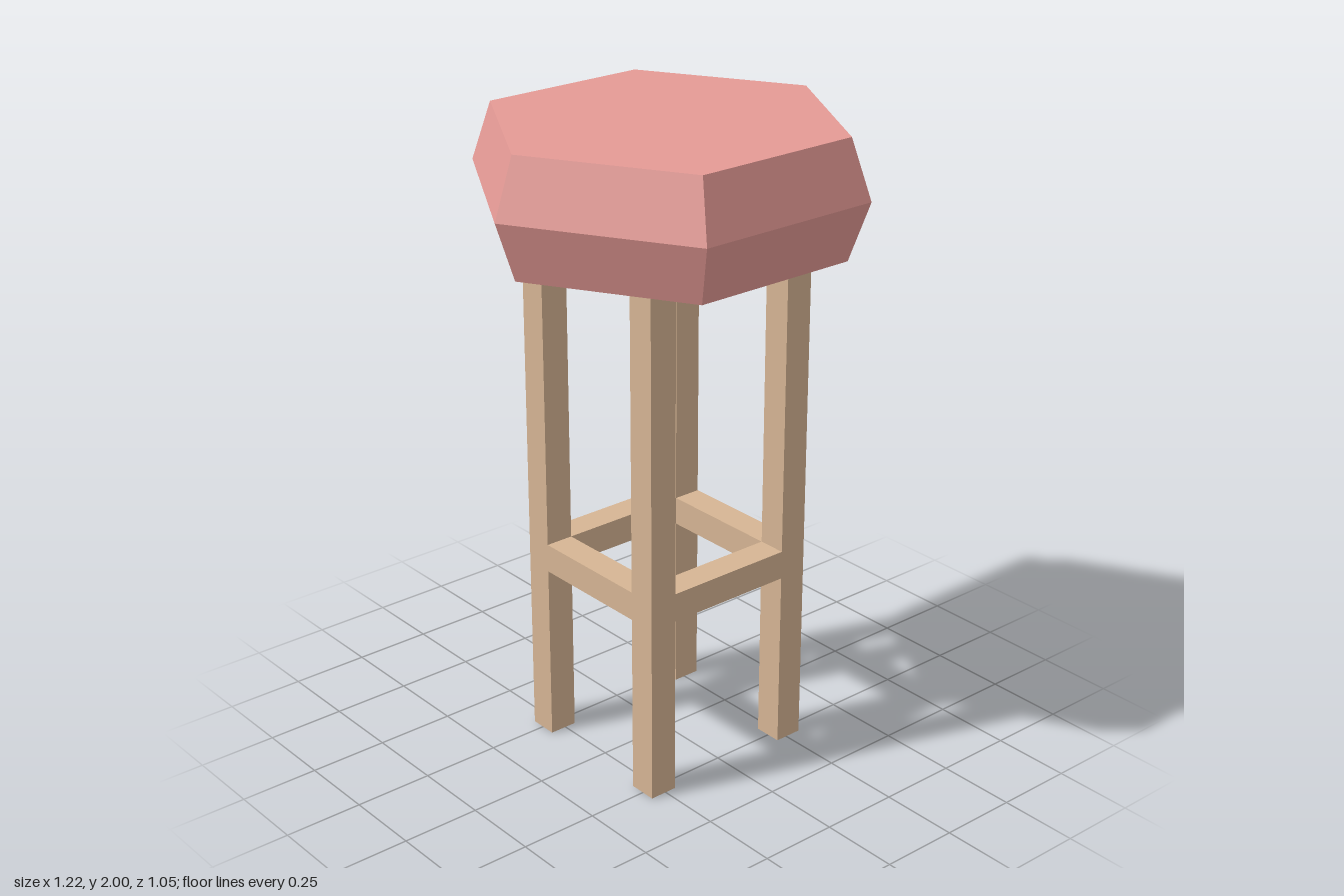
import * as THREE from 'three';

const LEG = 0.091;            // leg and rail thickness
const LEG_X = 0.258, LEG_Z = 0.248;
const SEAT_BOTTOM = 1.637, SEAT_TOP = 2;
const RAIL_Y = 0.622;

export function createModel() {
  const stool = new THREE.Group();
  stool.name = 'stool';
  const wood = new THREE.MeshStandardMaterial({ color: 0xd6b594, flatShading: true });
  const fabric = new THREE.MeshStandardMaterial({ color: 0xe59a95, flatShading: true });

  const addBox = (name, w, h, d, x, y, z) => {
    const mesh = new THREE.Mesh(new THREE.BoxGeometry(w, h, d), wood);
    mesh.name = name;
    mesh.position.set(x, y, z);
    stool.add(mesh);
  };

  // Hexagonal cushion, widest at mid height, corners on the x axis
  const profile = [
    [0, SEAT_BOTTOM], [0.545, SEAT_BOTTOM],
    [0.608, (SEAT_BOTTOM + SEAT_TOP) / 2],
    [0.545, SEAT_TOP], [0, SEAT_TOP],
  ].map(([r, y]) => new THREE.Vector2(r, y));
  const seat = new THREE.Mesh(new THREE.LatheGeometry(profile, 6, Math.PI / 2), fabric);
  seat.name = 'seat';
  stool.add(seat);

  // Four square legs
  for (const [side, sx] of [['Left', 1], ['Right', -1]]) {
    for (const [end, sz] of [['front', 1], ['back', -1]]) {
      addBox(`${end}${side}Leg`, LEG, SEAT_BOTTOM, LEG, sx * LEG_X, SEAT_BOTTOM / 2, sz * LEG_Z);
    }
  }

  // Footrest rails fitted between the legs, flush with them
  for (const [name, s] of [['front', 1], ['back', -1]]) {
    addBox(`${name}Rail`, 2 * LEG_X - LEG, LEG, LEG, 0, RAIL_Y, s * LEG_Z);
  }
  for (const [name, s] of [['left', 1], ['right', -1]]) {
    addBox(`${name}Rail`, LEG, LEG, 2 * LEG_Z - LEG, s * LEG_X, RAIL_Y, 0);
  }

  return stool;
}
